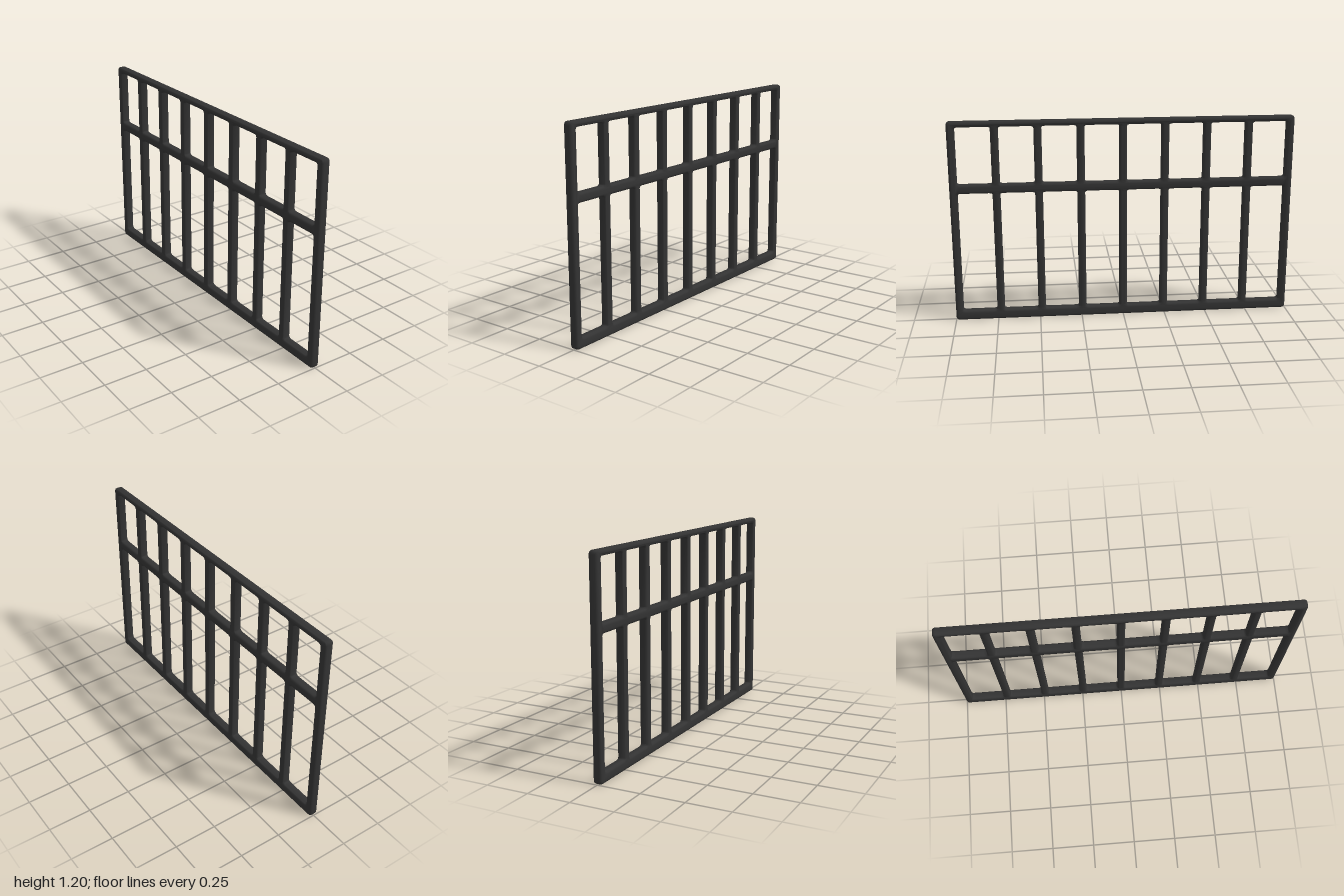
import * as THREE from 'three';
import { toCreasedNormals } from 'three/addons/utils/BufferGeometryUtils.js';

const HEIGHT = 1.198;
const POST_WIDTH = 0.045;
const POST_COUNT = 9;
const DEPTH = 0.052;
const EDGE = 0.014; // rounding of the bar edges

// Rectangle with softened corners, rx along and ry up
function softRect(path, x0, y0, x1, y1, rx, ry) {
  path.moveTo(x0 + rx, y0);
  path.lineTo(x1 - rx, y0);
  path.quadraticCurveTo(x1, y0, x1, y0 + ry);
  path.lineTo(x1, y1 - ry);
  path.quadraticCurveTo(x1, y1, x1 - rx, y1);
  path.lineTo(x0 + rx, y1);
  path.quadraticCurveTo(x0, y1, x0, y1 - ry);
  path.lineTo(x0, y0 + ry);
  path.quadraticCurveTo(x0, y0, x0 + rx, y0);
  return path;
}

export function createModel() {
  const group = new THREE.Group();
  group.name = 'barredPanel';

  // Outer frame outline
  const outline = softRect(new THREE.Shape(), -1, 0, 1, HEIGHT, 0.022, 0.022);

  // Openings between the posts, below and above the middle rail
  const spacing = (2 - POST_WIDTH) / (POST_COUNT - 1);
  const rows = [[0.058, 0.778], [0.831, 1.165]];
  for (let i = 0; i < POST_COUNT - 1; i++) {
    const start = -1 + POST_WIDTH + i * spacing;
    const end = start + spacing - POST_WIDTH;
    for (const [low, high] of rows) {
      outline.holes.push(softRect(new THREE.Path(), start, low, end, high, 0.02, 0.01));
    }
  }

  // Posts and rails as one piece with rounded edges
  const geometry = new THREE.ExtrudeGeometry(outline, {
    depth: DEPTH - 2 * EDGE,
    bevelThickness: EDGE,
    bevelSize: EDGE,
    bevelOffset: -EDGE,
    bevelSegments: 3,
    curveSegments: 4,
  });
  geometry.translate(0, 0, -(DEPTH / 2 - EDGE));
  geometry.rotateY(Math.PI / 2);

  const bars = new THREE.Mesh(
    toCreasedNormals(geometry, 0.8),
    new THREE.MeshStandardMaterial({ color: 0x333333 })
  );
  bars.name = 'postsAndRails';
  group.add(bars);
  return group;
}
